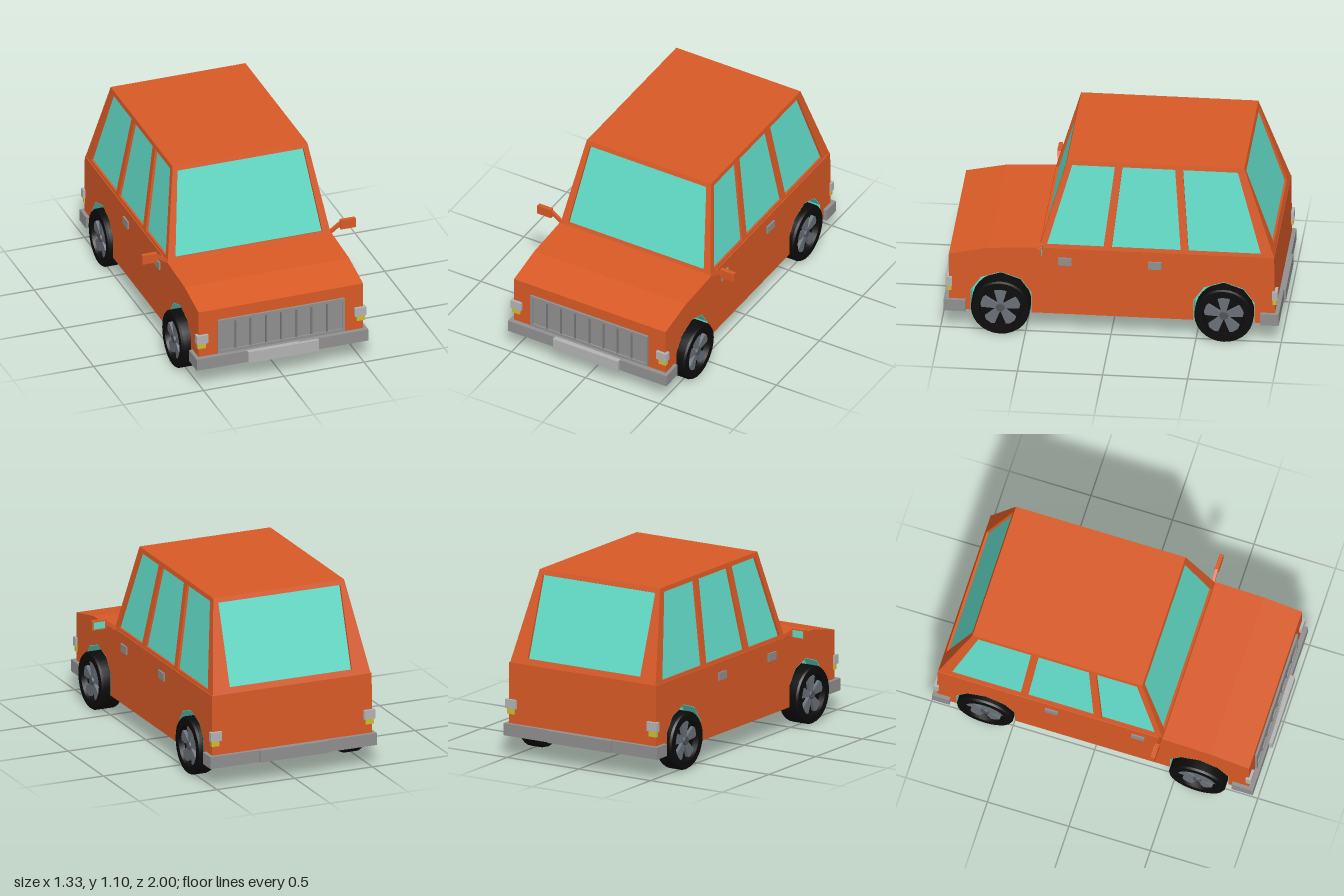
import * as THREE from 'three';
import { toCreasedNormals } from 'three/addons/utils/BufferGeometryUtils.js';

const mat = (color, side = THREE.FrontSide) => new THREE.MeshStandardMaterial({ color, side });
const PAINT = mat(0xd95a26), GLASS = mat(0x62dcc8, THREE.DoubleSide), LINER = mat(0x62dcc8);
const BLACK = mat(0x0c0c0c), RIM = mat(0x6a7078), HUB = mat(0x50555a);
const GREY = mat(0x909090), DARK = mat(0x777777), LIGHT = mat(0xb4b4b4), YELLOW = mat(0xd0bd30);

const shapeOf = (pts) => new THREE.Shape(pts.map(([a, b]) => new THREE.Vector2(a, b)));

function add(parent, name, geometry, material) {
  const mesh = new THREE.Mesh(geometry, material);
  mesh.name = name;
  parent.add(mesh);
  return mesh;
}

// Box given by its limits on each axis
function box(parent, name, [x0, x1], [y0, y1], [z0, z1], material) {
  const g = new THREE.BoxGeometry(Math.abs(x1 - x0), y1 - y0, z1 - z0);
  g.translate((x0 + x1) / 2, (y0 + y1) / 2, (z0 + z1) / 2);
  return add(parent, name, g, material);
}

// Side profile in (z, y), extruded across x from x0 to x1
function slab(parent, name, shape, x0, x1, material) {
  const g = new THREE.ExtrudeGeometry(shape, { depth: x1 - x0, bevelEnabled: false });
  g.rotateY(-Math.PI / 2).translate(x1, 0, 0);
  return add(parent, name, g, material);
}

// Leaning cabin wall with recessed windows; points are (distance along u, height y)
function wall(parent, name, origin, u, slope, outline, windows) {
  const v = slope.clone().normalize();
  const n = new THREE.Vector3().crossVectors(u, v);
  const flat = (pts) => pts.map(([a, y]) => [a, (y - origin.y) / v.y]);
  const place = new THREE.Matrix4().makeBasis(u, v, n).setPosition(origin);
  const shape = shapeOf(flat(outline));
  windows.forEach((w) => shape.holes.push(shapeOf(flat(w))));
  const frame = new THREE.ExtrudeGeometry(shape, { depth: 0.025, bevelEnabled: false });
  add(parent, name + 'Frame', frame.translate(0, 0, -0.025).applyMatrix4(place), PAINT);
  windows.forEach((w) => {
    const pane = new THREE.ShapeGeometry(shapeOf(flat(w))).translate(0, 0, -0.015);
    add(parent, name + 'Glass', pane.applyMatrix4(place), GLASS);
  });
}

// Wheel arch outline around z = c, from rear foot to front foot
const arch = (c, r = 0.18) => [
  [c - r, 0.13], [c - r, 0.26], [c - r * 0.65, 0.17 + r], [c, 0.21 + r],
  [c + r * 0.65, 0.17 + r], [c + r, 0.26], [c + r, 0.13],
];

const FRONT_AXLE = 0.645, REAR_AXLE = -0.665;

function buildBody(car) {
  const body = new THREE.Group();
  body.name = 'body';
  const top = [[0.95, 0.13], [0.95, 0.495], [0.715, 0.545], [0.42, 0.562], [-0.96, 0.565], [-0.965, 0.13]];
  slab(body, 'bodyCore', shapeOf(top), -0.42, 0.42, PAINT);
  const side = shapeOf([...top, ...arch(REAR_AXLE), ...arch(FRONT_AXLE)]);
  for (const s of [-1, 1]) {
    const [x0, x1] = s > 0 ? [0.42, 0.513] : [-0.513, -0.42];
    slab(body, 'bodySide', side, x0, x1, PAINT);
    for (const c of [FRONT_AXLE, REAR_AXLE]) {
      // arch lining and the inner wall of the wheel well
      const ring = shapeOf([...arch(c), ...arch(c, 0.176).reverse()]);
      slab(body, 'wheelArchLiner', ring, x0 + 0.001, x1 - 0.001, LINER);
      const inner = s > 0 ? 0.42 : -0.423;
      slab(body, 'wheelWell', shapeOf(arch(c)), inner, inner + 0.003, LINER);
    }
  }
  car.add(body);
}

function buildCabin(car) {
  const cabin = new THREE.Group();
  cabin.name = 'cabin';
  const V = (x, y, z) => new THREE.Vector3(x, y, z);
  const face = [[-0.508, 0.56], [0.508, 0.56], [0.42, 1.1], [-0.42, 1.1]];
  wall(cabin, 'windshield', V(0, 0.56, 0.42), V(1, 0, 0), V(0, 0.54, -0.155), face,
    [[[-0.458, 0.58], [0.458, 0.58], [0.393, 1.072], [-0.393, 1.072]]]);
  wall(cabin, 'rearWindow', V(0, 0.56, -0.96), V(-1, 0, 0), V(0, 0.54, 0.185), face,
    [[[-0.392, 0.6], [0.392, 0.6], [0.392, 1.072], [-0.392, 1.072]]]);
  const outline = [[0.42, 0.56], [0.265, 1.1], [-0.775, 1.1], [-0.96, 0.56]];
  // bottom front, bottom rear, top rear, top front of each side window
  const windows = [
    [0.376, 0.043, -0.016, 0.235], [-0.005, -0.41, -0.37, -0.06], [-0.455, -0.882, -0.738, -0.415],
  ].map(([a, b, c, d]) => [[a, 0.58], [b, 0.58], [c, 1.073], [d, 1.073]]);
  for (const s of [-1, 1]) {
    const flip = (pts) => pts.map(([z, y]) => [-s * z, y]);
    wall(cabin, 'sideWindow', V(s * 0.508, 0.56, 0), V(0, 0, -s), V(-s * 0.088, 0.54, 0),
      flip(outline), windows.map(flip));
  }
  box(cabin, 'roof', [-0.42, 0.42], [1.08, 1.1], [-0.775, 0.265], PAINT);
  car.add(cabin);
}

function buildWheel(car, name, s, z, inner, outer) {
  const wheel = new THREE.Group();
  wheel.name = name;
  const w = (outer - inner) / 2;
  const profile = [
    [0, -w], [0.155, -w], [0.168, -w + 0.008], [0.173, -w + 0.025], [0.173, w - 0.012],
    [0.165, w], [0.124, w], [0.119, w - 0.035], [0, w - 0.035],
  ].map(([r, y]) => new THREE.Vector2(r, y));
  const tyre = toCreasedNormals(new THREE.LatheGeometry(profile, 28), 0.5);
  add(wheel, 'tyre', tyre.rotateZ(-Math.PI / 2), BLACK);
  const spoke = shapeOf([[-0.014, 0.02], [0.014, 0.02], [0.036, 0.105], [0.018, 0.117], [-0.018, 0.117], [-0.036, 0.105]]);
  for (let i = 0; i < 5; i++) {
    const g = new THREE.ExtrudeGeometry(spoke, { depth: 0.022, bevelEnabled: false });
    g.rotateY(Math.PI / 2).translate(w - 0.036, 0, 0).rotateX((i * Math.PI * 2) / 5);
    add(wheel, 'spoke', g, RIM);
  }
  const hub = new THREE.CylinderGeometry(0.024, 0.032, 0.032, 10);
  add(wheel, 'hub', hub.rotateZ(-Math.PI / 2).translate(w - 0.02, 0, 0), HUB);
  wheel.position.set((s * (inner + outer)) / 2, 0.173, z);
  if (s < 0) wheel.rotation.y = Math.PI;
  car.add(wheel);
}

function buildTrim(car) {
  // bumpers with raised middle plates
  box(car, 'frontBumper', [-0.535, 0.535], [0.127, 0.2], [0.85, 0.98], GREY);
  box(car, 'frontBumperPlate', [-0.22, 0.22], [0.127, 0.2], [0.97, 1], LIGHT);
  box(car, 'rearBumper', [-0.535, 0.535], [0.127, 0.2], [-0.988, -0.88], GREY);
  box(car, 'rearBumperPlate', [-0.22, 0.22], [0.127, 0.2], [-1, -0.97], GREY);

  // grille: frame, back plate and upright bars
  const frame = shapeOf([[-0.396, 0.208], [0.396, 0.208], [0.396, 0.425], [-0.396, 0.425]]);
  frame.holes.push(shapeOf([[-0.38, 0.224], [0.38, 0.224], [0.38, 0.408], [-0.38, 0.408]]));
  const g = new THREE.ExtrudeGeometry(frame, { depth: 0.018, bevelEnabled: false });
  add(car, 'grilleFrame', g.translate(0, 0, 0.945), GREY);
  box(car, 'grillePlate', [-0.385, 0.385], [0.215, 0.415], [0.945, 0.953], GREY);
  for (let i = -3; i <= 3; i++) {
    box(car, 'grilleBar', [i * 0.095 - 0.005, i * 0.095 + 0.005], [0.224, 0.408], [0.95, 0.959], DARK);
  }

  for (const s of [-1, 1]) {
    const x = (a, b) => [s * a, s * b];
    // lamps on the four corners
    box(car, 'headlight', x(0.457, 0.528), [0.29, 0.345], [0.932, 0.966], LIGHT);
    box(car, 'frontIndicator', x(0.47, 0.52), [0.257, 0.292], [0.935, 0.96], YELLOW);
    box(car, 'tailLight', x(0.457, 0.528), [0.29, 0.345], [-0.98, -0.95], LIGHT);
    box(car, 'rearIndicator', x(0.47, 0.52), [0.257, 0.292], [-0.975, -0.952], YELLOW);
    // door handles
    for (const z of [0.27, -0.26]) {
      box(car, 'doorHandle', x(0.505, 0.523), [0.455, 0.503], [z - 0.04, z + 0.04], GREY);
    }
    // wing mirror on a slanted arm
    box(car, 'mirrorHousing', x(0.572, 0.665), [0.572, 0.63], [0.395, 0.42], PAINT);
    box(car, 'mirrorGlass', x(0.582, 0.655), [0.58, 0.622], [0.393, 0.397], LINER);
    const arm = new THREE.BoxGeometry(0.105, 0.022, 0.016);
    arm.rotateZ(s * 0.62).translate(s * 0.537, 0.583, 0.407);
    add(car, 'mirrorArm', arm, PAINT);
  }
}

export function createModel() {
  const car = new THREE.Group();
  car.name = 'car';
  buildBody(car);
  buildCabin(car);
  for (const s of [-1, 1]) {
    buildWheel(car, 'frontWheel', s, FRONT_AXLE, 0.425, 0.565);
    buildWheel(car, 'rearWheel', s, REAR_AXLE, 0.425, 0.537);
  }
  buildTrim(car);
  return car;
}
